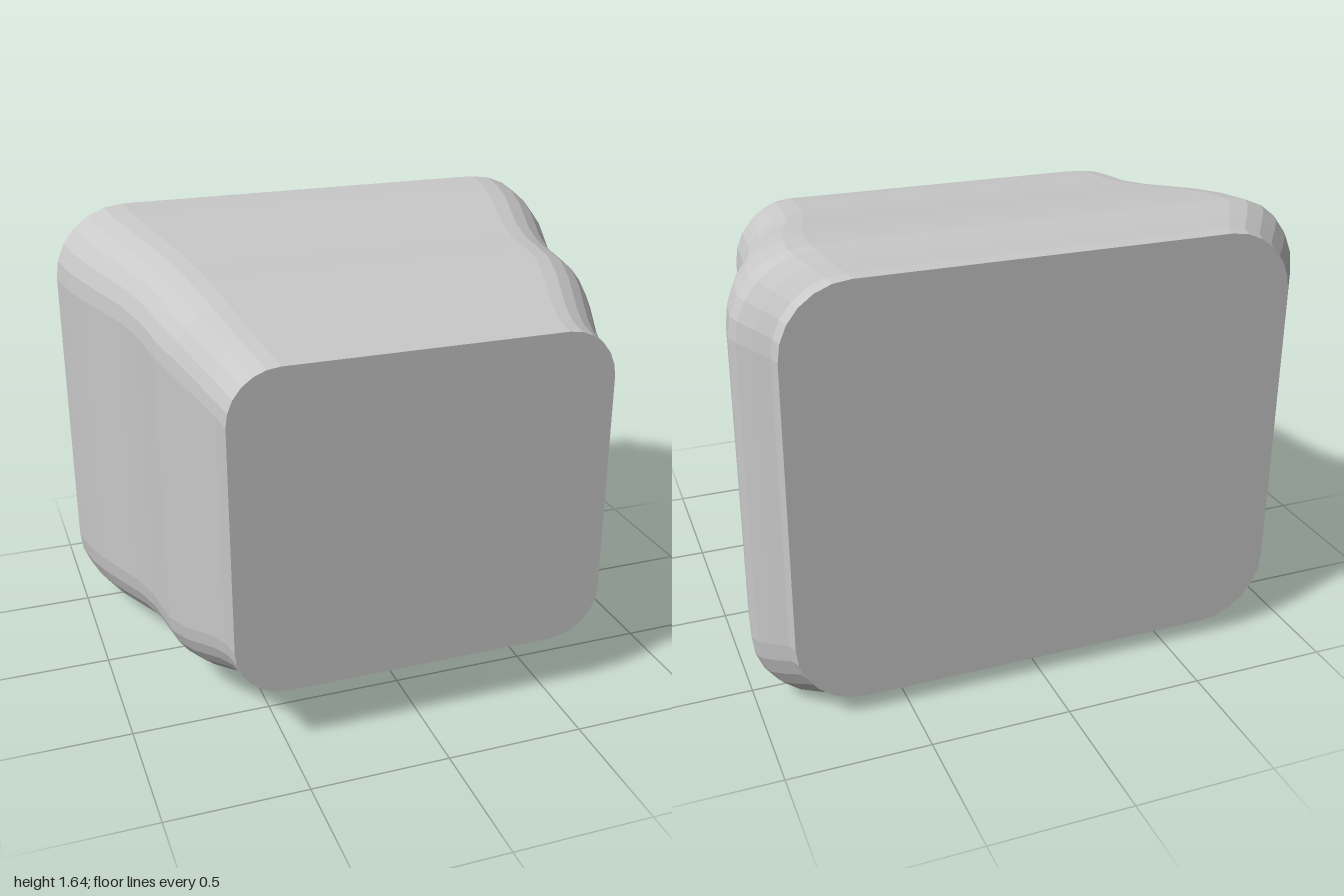
import * as THREE from 'three';

const CENTER_Y = 0.82;
const CORNER_STEPS = 6;

// Sections from front to back: z, half width, half height
const SECTIONS = [
  [0.75, 0.68, 0.59], [0.66, 0.69, 0.60], [0.57, 0.715, 0.625], [0.40, 0.775, 0.69],
  [0.29, 0.805, 0.718], [0.20, 0.813, 0.727], [0.07, 0.827, 0.735], [-0.06, 0.857, 0.752],
  [-0.31, 0.947, 0.792], [-0.44, 0.982, 0.808], [-0.57, 1.0, 0.818], [-0.61, 0.985, 0.81],
  [-0.66, 0.945, 0.788], [-0.71, 0.9, 0.762], [-0.75, 0.888, 0.755],
];

// Rounded rectangle, counter-clockwise seen from the front
function ring([z, w, h]) {
  const r = 0.27 * w;
  const points = [];
  [[1, 1], [-1, 1], [-1, -1], [1, -1]].forEach(([sx, sy], corner) => {
    for (let i = 0; i <= CORNER_STEPS; i++) {
      const a = (corner + i / CORNER_STEPS) * Math.PI / 2;
      points.push(new THREE.Vector3(
        sx * (w - r) + r * Math.cos(a),
        CENTER_Y + sy * (h - r) + r * Math.sin(a), z));
    }
  });
  return points;
}

// Separate corners for every triangle give crisp flat facets
function facets(triangles) {
  const geometry = new THREE.BufferGeometry().setFromPoints(triangles);
  geometry.computeVertexNormals();
  return geometry;
}

export function createModel() {
  const group = new THREE.Group();
  const grey = new THREE.MeshStandardMaterial({ color: 0xc8c8c8 });
  grey.name = 'light grey';
  const add = (name, triangles) => {
    const mesh = new THREE.Mesh(facets(triangles), grey);
    mesh.name = name;
    group.add(mesh);
  };

  const rings = SECTIONS.map(ring);
  const count = rings[0].length;
  const last = rings.length - 1;
  const wall = [], front = [], back = [];
  const frontCenter = new THREE.Vector3(0, CENTER_Y, SECTIONS[0][0]);
  const backCenter = new THREE.Vector3(0, CENTER_Y, SECTIONS[last][0]);

  for (let j = 0; j < count; j++) {
    const k = (j + 1) % count;
    for (let i = 0; i < last; i++) {
      const a = rings[i][j], b = rings[i][k], c = rings[i + 1][j], d = rings[i + 1][k];
      wall.push(a, c, d, a, d, b);
    }
    front.push(frontCenter, rings[0][j], rings[0][k]);
    back.push(backCenter, rings[last][k], rings[last][j]);
  }

  // Stepped flaring shell and its two flat ends
  add('flaredBody', wall);
  add('frontFace', front);
  add('backFace', back);
  return group;
}
